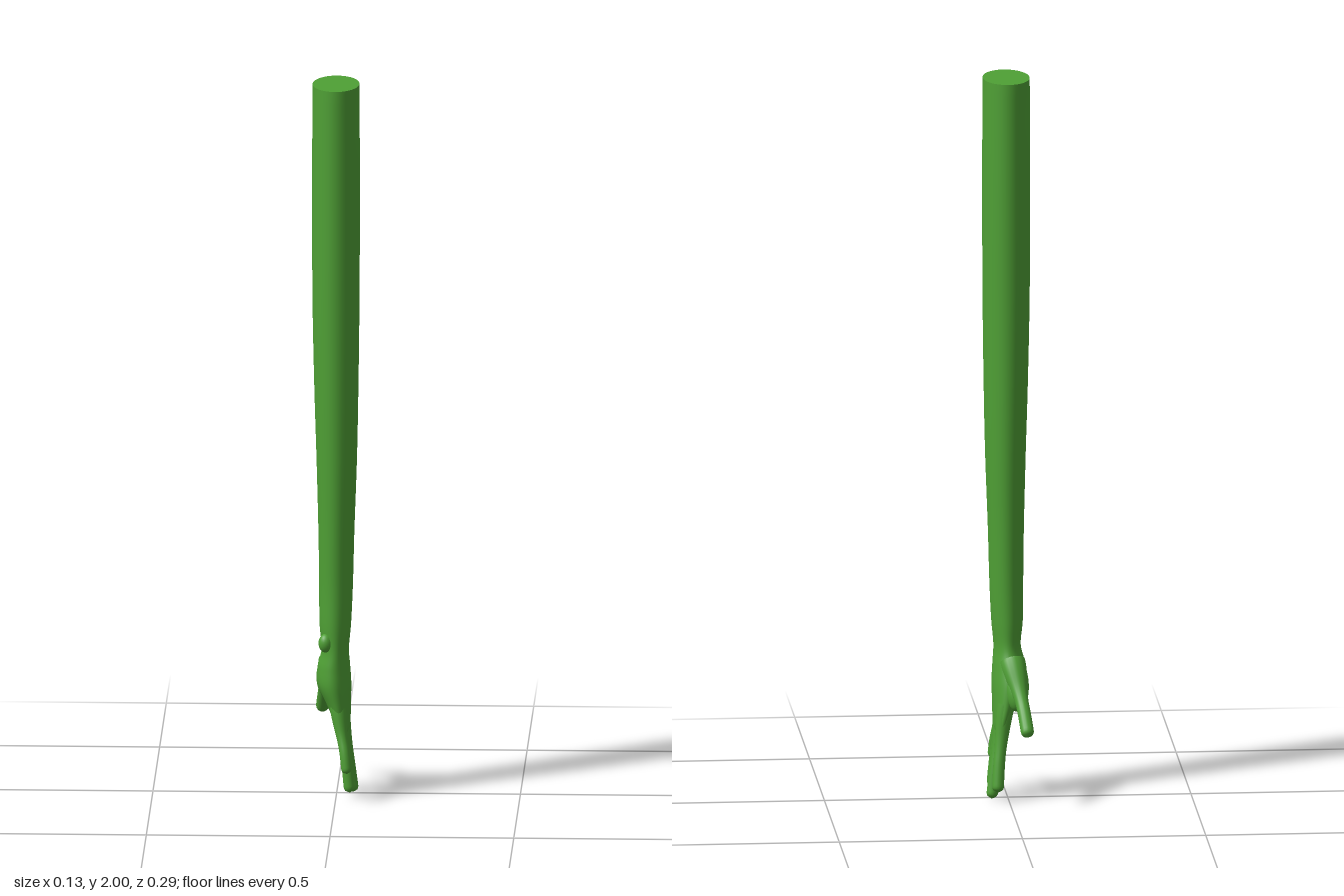
import * as THREE from 'three';
import { mergeVertices } from 'three/addons/utils/BufferGeometryUtils.js';

const V = (x, y, z) => new THREE.Vector3(x, y, z);
const smoothstep = THREE.MathUtils.smoothstep;

// Weld the seam and rebuild smooth normals
function smooth(geo) {
  geo.deleteAttribute('uv');
  geo.deleteAttribute('normal');
  const welded = mergeVertices(geo, 1e-5);
  welded.computeVertexNormals();
  return welded;
}

// Oval limb through rows of [y, centre x, centre z, radius x, radius z], top to bottom
function limb(rows) {
  const curve = (pts) => new THREE.CatmullRomCurve3(pts, false, 'catmullrom', 0.5);
  const centres = curve(rows.map(([y, cx, cz]) => V(cx, y, cz)));
  const radii = curve(rows.map((r) => V(r[3], 0, r[4])));
  const geo = new THREE.CylinderGeometry(1, 1, 1, 40, 100, true);
  const p = geo.attributes.position;
  for (let i = 0; i < p.count; i++) {
    const t = THREE.MathUtils.clamp(0.5 - p.getY(i), 0, 1);
    const c = centres.getPoint(t), r = radii.getPoint(t);
    p.setXYZ(i, c.x + p.getX(i) * r.x, c.y, c.z + p.getZ(i) * r.z);
  }
  return smooth(geo);
}

// Tapered finger with a rounded tip
function finger(points, r0, r1) {
  const path = new THREE.CatmullRomCurve3(points.map((q) => V(...q)));
  const n = 40, sides = 18, len = path.getLength();
  const geo = new THREE.TubeGeometry(path, n, 1, sides, false);
  const p = geo.attributes.position, v = V(0, 0, 0);
  for (let i = 0; i < p.count; i++) {
    const u = Math.floor(i / (sides + 1)) / n;
    const c = path.getPointAt(u);
    const fromTip = (1 - u) * len;
    let r = THREE.MathUtils.lerp(r0, r1, smoothstep(u, 0, 0.6));
    if (fromTip < r) r = Math.sqrt(Math.max(0, r * r - (r - fromTip) ** 2));
    v.fromBufferAttribute(p, i).sub(c).multiplyScalar(Math.max(r, 0.0005)).add(c);
    p.setXYZ(i, v.x, v.y, v.z);
  }
  return smooth(geo);
}

export function createModel() {
  const group = new THREE.Group();
  const green = new THREE.MeshStandardMaterial({ color: 0x4fa035 });
  green.name = 'green';
  const add = (name, geo) => {
    const mesh = new THREE.Mesh(geo, green);
    mesh.name = name;
    group.add(mesh);
    return mesh;
  };

  // Arm, wrist and palm in one skin
  add('armAndPalm', limb([
    [2.0, 0, 0.052, 0.064, 0.094],
    [1.7, 0, 0.052, 0.065, 0.094],
    [1.4, 0, 0.053, 0.064, 0.093],
    [1.15, 0.001, 0.053, 0.06, 0.09],
    [0.95, 0.002, 0.052, 0.055, 0.084],
    [0.75, 0.001, 0.05, 0.049, 0.075],
    [0.6, 0, 0.048, 0.046, 0.069],
    [0.49, -0.002, 0.048, 0.043, 0.068],
    [0.42, -0.002, 0.047, 0.037, 0.067],
    [0.37, -0.006, 0.04, 0.044, 0.076],
    [0.32, -0.005, 0.034, 0.046, 0.084],
    [0.27, 0.005, 0.029, 0.035, 0.084],
    [0.225, 0.014, 0.025, 0.025, 0.081],
    [0.195, 0.019, 0.024, 0.018, 0.074],
    [0.18, 0.021, 0.024, 0.002, 0.05],
  ]));

  // Flat cut at the shoulder
  const cap = add('shoulderCap', new THREE.CircleGeometry(1, 40));
  cap.rotation.x = -Math.PI / 2;
  cap.scale.set(0.064, 0.094, 1);
  cap.position.set(0, 2, 0.052);

  // Fingers fan out and lean towards +x
  add('littleFinger', finger([[0.005, 0.27, 0.085], [0.015, 0.2, 0.1], [0.026, 0.14, 0.117], [0.032, 0.085, 0.124]], 0.022, 0.014));
  add('ringFinger', finger([[0.008, 0.27, 0.045], [0.018, 0.19, 0.053], [0.03, 0.1, 0.06], [0.038, 0.018, 0.062]], 0.023, 0.0155));
  add('middleFinger', finger([[0.01, 0.27, 0.005], [0.02, 0.19, 0.006], [0.034, 0.09, -0.004], [0.045, 0.002, -0.014]], 0.023, 0.0155));
  add('indexFinger', finger([[0.007, 0.27, -0.03], [0.018, 0.19, -0.037], [0.027, 0.11, -0.051], [0.032, 0.03, -0.064]], 0.023, 0.016));

  // Thumb with its thick base
  add('thumb', finger([[-0.012, 0.38, -0.002], [-0.024, 0.325, -0.045], [-0.036, 0.265, -0.095], [-0.045, 0.2, -0.14]], 0.036, 0.018));

  // Fleshy pad between thumb and palm
  const pad = add('thumbPad', new THREE.SphereGeometry(1, 28, 20));
  pad.scale.set(0.034, 0.075, 0.04);
  pad.position.set(-0.022, 0.32, -0.022);
  pad.rotation.x = 0.5;

  // Wrist bone on the little finger side
  const bone = add('wristBone', new THREE.SphereGeometry(1, 20, 14));
  bone.scale.set(0.019, 0.026, 0.019);
  bone.position.set(-0.027, 0.445, 0.1);

  return group;
}
